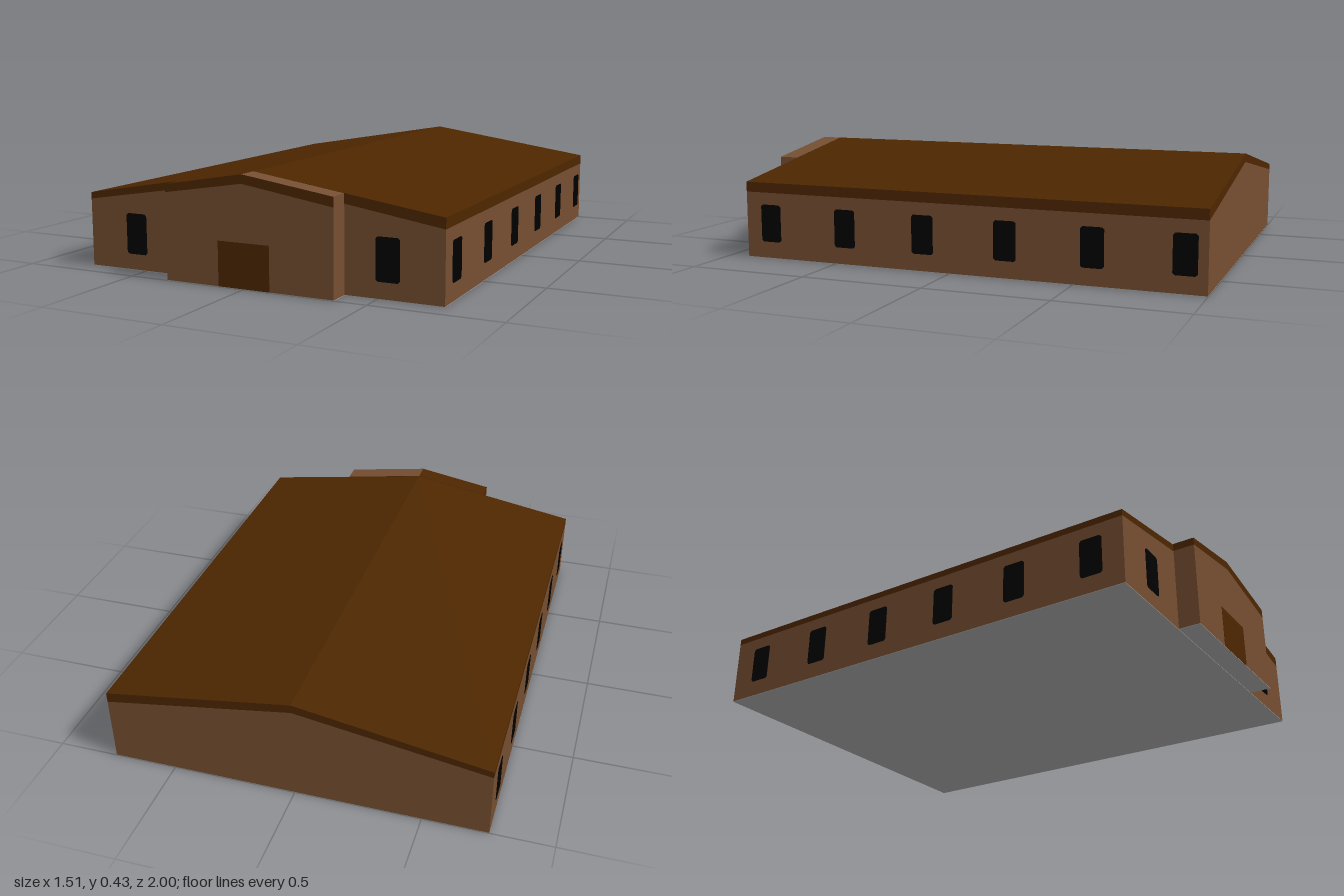
import * as THREE from 'three';

const flat = (name, color) => {
  const m = new THREE.MeshStandardMaterial({ color });
  m.name = name;
  return m;
};

export function createModel() {
  const model = new THREE.Group();
  model.name = 'hall';
  const wall = flat('wall brown', 0x754e31);
  const roof = flat('roof brown', 0x4d2600);
  const glass = flat('window black', 0x000000);
  const floorGrey = flat('floor grey', 0xa5a5a5);

  // Roof outlines: ridge at x = 0, slightly different pitch on each side
  const top = (x) => 0.428 - (x < 0 ? 0.171 : 0.151) * Math.abs(x);
  const under = (x) => 0.393 - 0.159 * Math.abs(x);

  // Extrudes an outline in x and y between two z positions
  const prism = (name, points, z0, z1, material) => {
    const shape = new THREE.Shape(points.map(([x, y]) => new THREE.Vector2(x, y)));
    const geometry = new THREE.ExtrudeGeometry(shape, { depth: z1 - z0, bevelEnabled: false });
    const mesh = new THREE.Mesh(geometry, material);
    mesh.name = name;
    mesh.position.z = z0;
    model.add(mesh);
    return mesh;
  };
  const box = (name, x0, x1, y0, y1, z0, z1, material) => {
    const mesh = new THREE.Mesh(new THREE.BoxGeometry(x1 - x0, y1 - y0, z1 - z0), material);
    mesh.name = name;
    mesh.position.set((x0 + x1) / 2, (y0 + y1) / 2, (z0 + z1) / 2);
    model.add(mesh);
  };

  // Gabled walls, floor and half roofs of one block
  const block = (name, x0, x1, z0, z1, rightSlope) => {
    box(name + 'Floor', x0, x1, 0, 0.002, z0, z1, floorGrey);
    prism(name + 'Walls', [[x0, 0.002], [x1, 0.002], [x1, under(x1)], [0, under(0)], [x0, under(x0)]], z0, z1, wall);
    for (const x of [x0, x1]) {
      const points = [[0, under(0)], [x, under(x)], [x, top(x)], [0, top(0)]];
      prism(name + 'Roof', points, z0, z1, x > 0 ? [roof, rightSlope] : roof);
    }
  };
  block('main', -0.756, 0.756, -1, 0.912, roof);
  block('porch', -0.335, 0.372, 0.914, 1, wall);

  // Entrance door
  box('door', -0.105, 0.112, 0.002, 0.175, 0.998, 1.001, roof);

  // Window plate with clipped corners
  const windowPlate = (w, h, x, y, z, turn) => {
    const a = w / 2, b = h / 2, c = 0.008;
    const mesh = prism('window', [
      [-a + c, -b], [a - c, -b], [a, -b + c], [a, b - c],
      [a - c, b], [-a + c, b], [-a, b - c], [-a, -b + c],
    ], 0, 0.0015, glass);
    mesh.position.set(x, y, z);
    mesh.rotation.y = turn;
  };
  for (const x of [-0.538, 0.54]) windowPlate(0.094, 0.163, x, 0.146, 0.912, 0);
  for (let i = 0; i < 6; i++) {
    windowPlate(0.091, 0.154, 0.756, 0.146, 0.798 - 0.343 * i, Math.PI / 2);
    windowPlate(0.091, 0.154, -0.756, 0.146, 0.78 - 0.327 * i, -Math.PI / 2);
  }
  return model;
}
